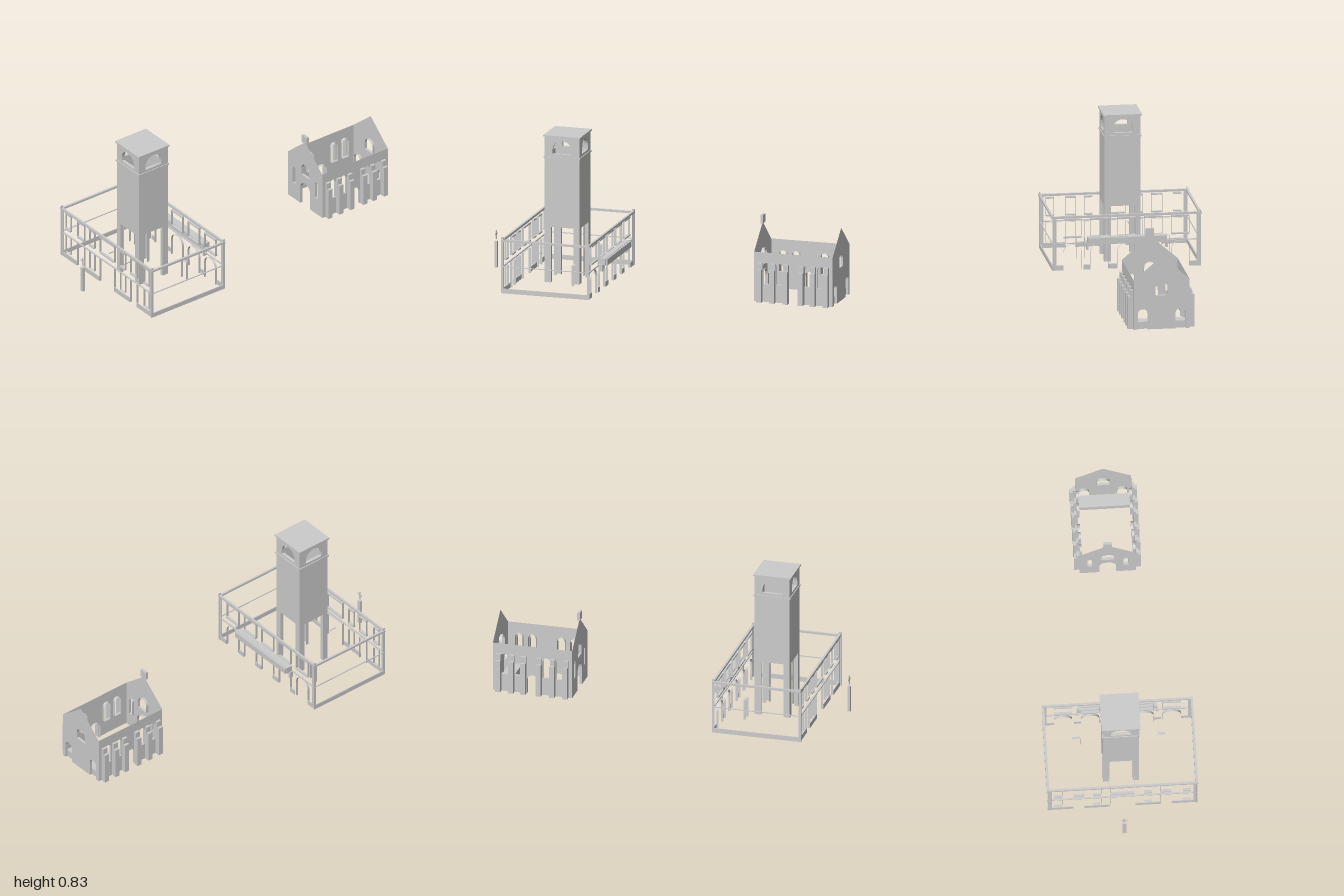
import * as THREE from 'three';

const mat = new THREE.MeshStandardMaterial({ color: 0xcccccc, flatShading: true, side: THREE.DoubleSide });

function add(parent, name, geo, x = 0, y = 0, z = 0) {
  const m = new THREE.Mesh(geo, mat);
  m.name = name;
  m.position.set(x, y, z);
  parent.add(m);
  return m;
}

// box given by its min and max on each axis
function box(parent, name, x0, x1, y0, y1, z0, z1) {
  return add(parent, name, new THREE.BoxGeometry(x1 - x0, y1 - y0, z1 - z0),
    (x0 + x1) / 2, (y0 + y1) / 2, (z0 + z1) / 2);
}

// outline of an opening, round-headed or square
function opening(cx, y0, y1, w, round = true) {
  const r = w / 2, pts = [new THREE.Vector2(cx - r, y0)];
  if (round) {
    for (let i = 0; i <= 12; i++) {
      const a = Math.PI * (1 - i / 12);
      pts.push(new THREE.Vector2(cx + r * Math.cos(a), y1 - r + r * Math.sin(a)));
    }
  } else pts.push(new THREE.Vector2(cx - r, y1), new THREE.Vector2(cx + r, y1));
  pts.push(new THREE.Vector2(cx + r, y0));
  return pts;
}

// lining of an opening, running inwards (-z) from the wall face
function reveal(parent, name, pts, depth, closed = true) {
  const pos = [], idx = [], n = pts.length;
  for (const p of pts) pos.push(p.x, p.y, 0, p.x, p.y, -depth);
  for (let i = 0; i < (closed ? n : n - 1); i++) {
    const a = 2 * i, b = 2 * ((i + 1) % n);
    idx.push(a, a + 1, b, b, a + 1, b + 1);
  }
  const g = new THREE.BufferGeometry();
  g.setAttribute('position', new THREE.Float32BufferAttribute(pos, 3));
  g.setIndex(idx);
  g.computeVertexNormals();
  return add(parent, name, g);
}

// sheet wall with lined openings; openings that reach the ground stay open below
function wall(parent, name, outline, openings, depth) {
  const g = new THREE.Group();
  g.name = name;
  const shape = new THREE.Shape();
  shape.moveTo(outline[0][0], 0);
  openings.filter(o => o[0].y === 0).sort((a, b) => a[0].x - b[0].x)
    .forEach(o => o.forEach(p => shape.lineTo(p.x, p.y)));
  outline.slice(1).forEach(([x, y]) => shape.lineTo(x, y));
  for (const o of openings) {
    if (o[0].y > 0) shape.holes.push(new THREE.Path(o));
    reveal(g, 'reveal', o, depth, o[0].y > 0);
  }
  add(g, 'wallFace', new THREE.ShapeGeometry(shape));
  parent.add(g);
  return g;
}

function tower(root) {
  const t = new THREE.Group();
  t.name = 'tower';
  t.position.z = 0.58;
  root.add(t);
  for (let i = 0; i < 4; i++) {
    const side = new THREE.Group();
    side.name = 'towerSide';
    side.rotation.y = i * Math.PI / 2;
    t.add(side);
    const w = wall(side, 'towerWall', [[-0.1, 0], [0.1, 0], [0.1, 0.83], [-0.1, 0.83]],
      [opening(0, 0, 0.315, 0.13, false), opening(0, 0.73, 0.807, 0.11)], 0.018);
    w.position.z = 0.1;
    box(side, 'cornice', -0.105, 0.105, 0.706, 0.716, 0.1, 0.105);
  }
  box(t, 'towerRoof', -0.107, 0.107, 0.826, 0.835, -0.107, 0.107);
}

function chapel(root) {
  const c = new THREE.Group();
  c.name = 'chapel';
  root.add(c);
  const gable = [[-0.155, 0], [0.155, 0], [0.155, 0.28], [0, 0.413], [-0.155, 0.28]];
  const front = wall(c, 'frontGable', gable, [
    opening(0, 0, 0.145, 0.09), opening(0, 0.19, 0.265, 0.07),
    opening(-0.1, 0.1, 0.2, 0.026), opening(0.1, 0.1, 0.2, 0.026)], 0.015);
  front.position.z = -0.547;
  const back = wall(c, 'backGable', gable, [
    opening(-0.105, 0, 0.115, 0.055), opening(0.105, 0, 0.115, 0.055),
    opening(0, 0.19, 0.265, 0.07)], 0.015);
  back.position.z = -1;
  back.rotation.y = Math.PI;
  for (const s of [-1, 1]) {
    // side wall: local x runs along the length
    const bays = [-0.155, -0.08, 0.085, 0.16].map(x => opening(x, 0.1, 0.22, 0.044));
    const side = wall(c, 'chapelSide', [[-0.2265, 0], [0.2265, 0], [0.2265, 0.28], [-0.2265, 0.28]],
      [opening(0, 0, 0.11, 0.062), ...bays.map(b => b.map(p => new THREE.Vector2(s * p.x, p.y)))]
        .map(b => (b[0].x > b[b.length - 1].x ? b.reverse() : b)), 0.015);
    side.position.set(s * 0.155, 0, -0.7735);
    side.rotation.y = s * Math.PI / 2;
    for (const z of [-0.582, -0.657, -0.733, -0.822, -0.89, -0.965]) {
      const lo = s > 0 ? 0.155 : -0.185, mid = s > 0 ? 0.155 : -0.17;
      box(c, 'buttress', lo, lo + 0.03, 0, 0.185, z - 0.014, z + 0.014);
      box(c, 'buttressTop', mid, mid + 0.015, 0.185, 0.22, z - 0.014, z + 0.014);
    }
  }
  box(c, 'altarStep', -0.14, 0.14, 0, 0.04, -0.985, -0.915);
  box(c, 'gableFinial', -0.023, 0.023, 0.408, 0.455, -0.555, -0.54);
}

function frame(root) {
  const f = new THREE.Group();
  f.name = 'hallFrame';
  root.add(f);
  const z0 = 0.33, z1 = 0.825;
  // long beams and base pieces of the front and back
  for (const z of [z0, z1]) {
    box(f, 'eavesBeam', -0.418, 0.418, 0.295, 0.307, z - 0.006, z + 0.006);
    box(f, 'middleBand', -0.414, 0.414, 0.149, 0.154, z - 0.004, z + 0.004);
  }
  for (const s of [-1, 1]) {
    // end walls: base, band and eaves, with flat corner posts
    const e = (name, y0, y1, w) =>
      box(f, name, s * 0.41 - w, s * 0.41 + w, y0, y1, z0, z1);
    e('endBase', 0, 0.026, 0.003);
    e('endBand', 0.15, 0.154, 0.003);
    e('endEaves', 0.293, 0.305, 0.006);
    for (const z of [z0, z1]) {
      box(f, 'cornerPost', s * 0.4 - 0.01, s * 0.4 + 0.01, 0, 0.3, z - 0.002, z + 0.002);
      box(f, 'cornerReturn', s * 0.41 - 0.002, s * 0.41 + 0.002, 0, 0.318, z - 0.007, z + 0.007);
    }
    const base = (a, b, z) =>
      box(f, 'basePanel', Math.min(s * a, s * b), Math.max(s * a, s * b), 0, 0.028, z - 0.002, z + 0.002);
    base(0.27, 0.41, z1);
    base(0.07, 0.21, z1);
    base(0.05, 0.1, z0);
    base(0.2, 0.24, z0);
    base(0.35, 0.41, z0);
  }
  // openings of one long wall: lower lining, upper lining, sill and head
  const bay = (g, x, w, y0, round) => {
    reveal(g, 'lowerJambs', opening(x, y0, 0.146, w, round), 0.013, y0 > 0);
    reveal(g, 'upperJambs', opening(x, 0.19, 0.283, w, false), 0.013);
    for (const y of [0.182, 0.282])
      box(g, 'windowBar', x - w / 2, x + w / 2, y, y + 0.008, -0.013, 0.002);
  };
  const front = new THREE.Group(), back = new THREE.Group();
  front.name = 'frontBays';
  back.name = 'backBays';
  front.position.z = z1;
  back.position.z = z0;
  back.rotation.y = Math.PI;
  f.add(front, back);
  bay(front, 0, 0.13, 0, false);
  bay(back, 0, 0.1, 0, true);
  for (const s of [-1, 1]) {
    bay(front, s * 0.355, 0.045, 0.035, false);
    bay(front, s * 0.24, 0.06, 0, false);
    bay(front, s * 0.14, 0.045, 0.035, false);
    bay(back, s * 0.15, 0.1, 0, true);
    bay(back, s * 0.3, 0.1, 0, true);
    // inner door linings and threshold rails
    const jamb = reveal(f, 'innerDoorJambs', opening(s * 0.235, 0.03, 0.145, 0.045, false), 0.014, false);
    jamb.position.z = 0.475;
    box(f, 'innerRail', s * 0.07 - 0.002, s * 0.07 + 0.002, 0.149, 0.154, 0.71, 0.76);
    box(f, 'canopyBracket', s * 0.22 - 0.006, s * 0.22 + 0.006, 0.118, 0.155, 0.305, 0.328);
  }
  // rear canopy
  box(f, 'canopy', -0.22, 0.22, 0.153, 0.19, 0.29, 0.325);
  box(f, 'canopyLip', -0.215, 0.215, 0.153, 0.188, 0.28, 0.29);
}

function wayCross(root) {
  const g = new THREE.Group();
  g.name = 'wayCross';
  root.add(g);
  box(g, 'crossPillar', -0.01, 0.01, 0.035, 0.185, 0.984, 1);
  box(g, 'crossUpright', -0.004, 0.004, 0.195, 0.245, 0.99, 0.994);
  box(g, 'crossArm', -0.018, 0.018, 0.221, 0.229, 0.99, 0.994);
}

export function createModel() {
  const root = new THREE.Group();
  root.name = 'churchAndHall';
  tower(root);
  chapel(root);
  frame(root);
  wayCross(root);
  return root;
}
